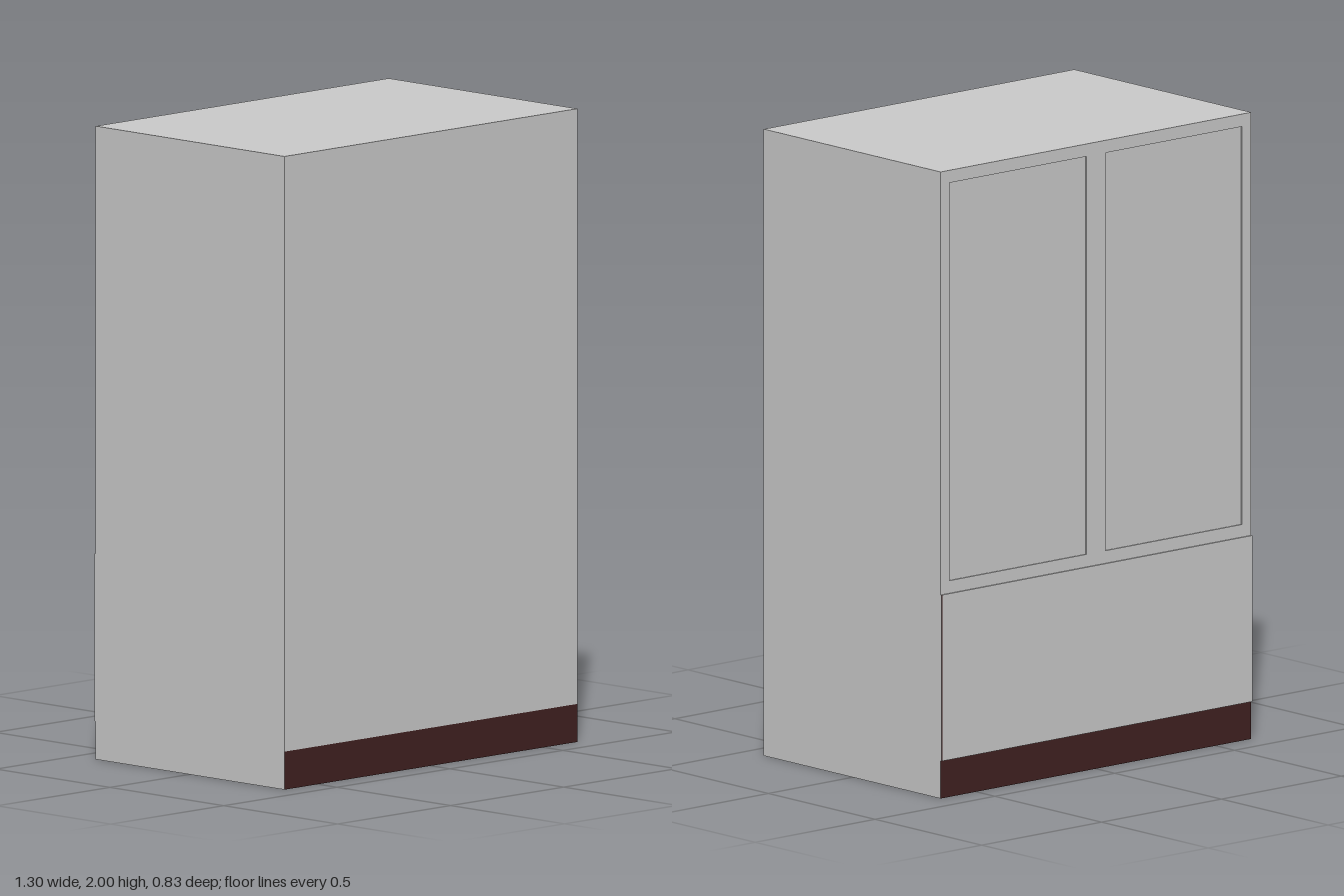
import * as THREE from 'three';

const W = 1.296, FRONT = 0.417, BACK = -0.412, BASE_H = 0.12, H = 2, RECESS = 0.004;

export function createModel() {
  const grey = new THREE.MeshStandardMaterial({ color: 0xc9c9c9 });
  grey.name = 'light grey';
  const brown = new THREE.MeshStandardMaterial({ color: 0x402020 });
  brown.name = 'dark brown';

  const model = new THREE.Group();
  model.name = 'cabinet';

  // Box given by its limits
  const box = (name, x0, x1, y0, y1, z0, z1, material) => {
    const mesh = new THREE.Mesh(new THREE.BoxGeometry(x1 - x0, y1 - y0, z1 - z0), material);
    mesh.position.set((x0 + x1) / 2, (y0 + y1) / 2, (z0 + z1) / 2);
    mesh.name = name;
    model.add(mesh);
    return mesh;
  };

  const half = W / 2;

  // Plinth: brown front, back and underside, grey ends flush with the sides
  box('plinth', -half, half, 0, BASE_H, BACK, FRONT, [grey, grey, brown, brown, brown, brown]);

  // Carcass
  box('carcass', -half, half, BASE_H, H, BACK + RECESS, FRONT, grey);

  // Door frame with two shallow recesses
  const rect = (target, x0, x1, y0, y1) => {
    target.moveTo(x0, y0);
    target.lineTo(x1, y0);
    target.lineTo(x1, y1);
    target.lineTo(x0, y1);
    target.closePath();
    return target;
  };
  const frameShape = rect(new THREE.Shape(), -half, half, BASE_H, H);
  for (const [x0, x1] of [[-0.61, -0.04], [0.04, 0.61]]) {
    frameShape.holes.push(rect(new THREE.Path(), x0, x1, 0.69, 1.96));
  }
  const frame = new THREE.Mesh(
    new THREE.ExtrudeGeometry(frameShape, { depth: RECESS, bevelEnabled: false }), grey);
  frame.position.z = BACK;
  frame.name = 'doorFrame';
  model.add(frame);

  // Raised lower panel with a narrow brown edge strip
  box('lowerPanel', -half, half - 0.004, BASE_H, 0.65, BACK - 0.005, BACK, grey);
  box('panelEdgeStrip', half - 0.004, half, BASE_H, 0.65, BACK - 0.005, BACK, [grey, brown, brown, brown, brown, brown]);

  return model;
}
